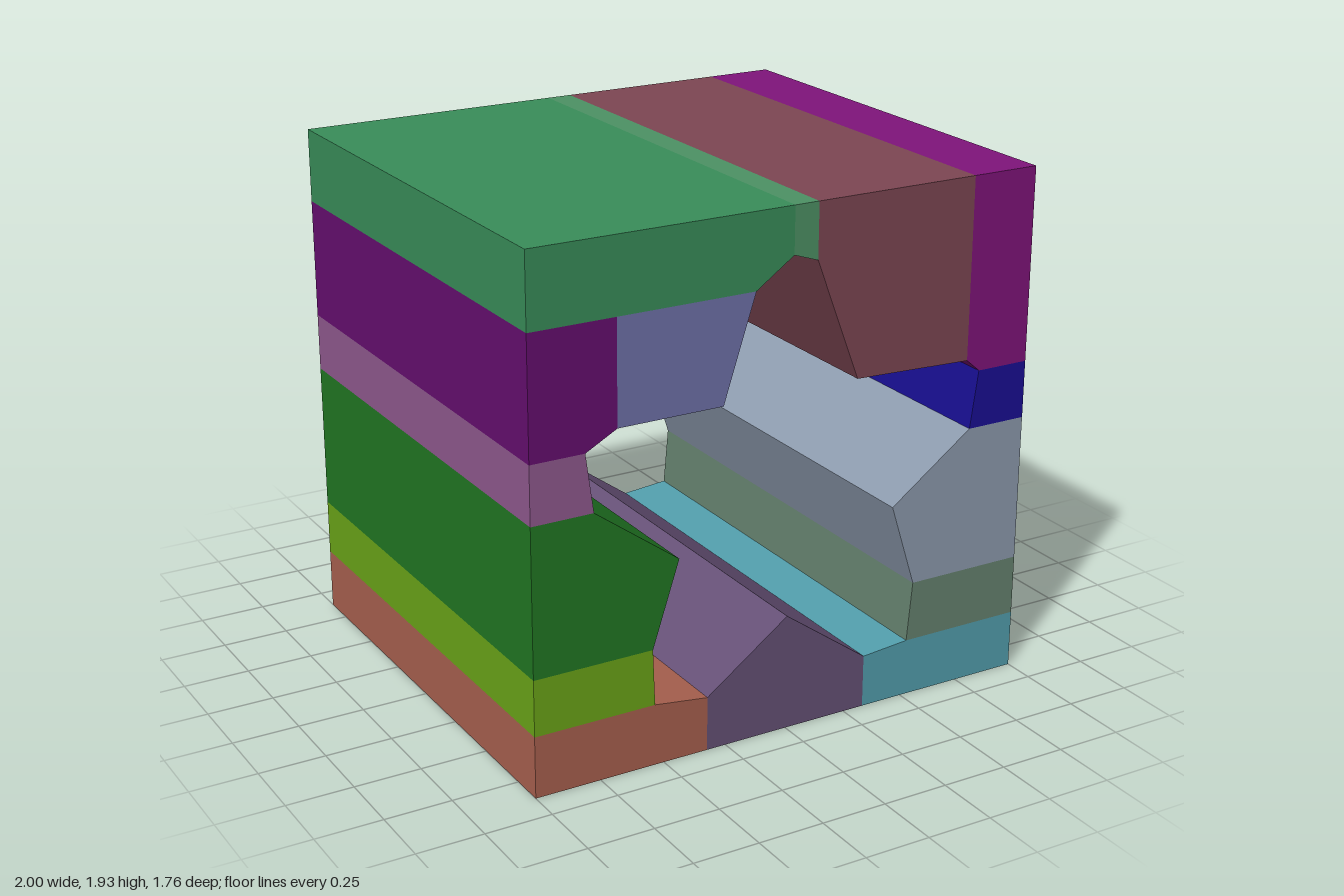
import * as THREE from 'three';

const DEPTH = 1.76;
const TOP = 1.935;

// Extrudes an x-y outline (anticlockwise) through the full depth as one solid block.
function block(name, color, outline) {
  const shape = new THREE.Shape(outline.map(([x, y]) => new THREE.Vector2(x, y)));
  const geometry = new THREE.ExtrudeGeometry(shape, { depth: DEPTH, bevelEnabled: false });
  geometry.translate(0, 0, -DEPTH / 2);
  const mesh = new THREE.Mesh(geometry, new THREE.MeshStandardMaterial({ color, flatShading: true }));
  mesh.name = name;
  return mesh;
}

export function createModel() {
  const group = new THREE.Group();
  group.name = 'starTunnelBlock';

  group.add(
    // Floor blocks with the central ridge
    block('floorRight', 0xa9614f, [[-1, 0], [-0.325, 0], [-0.325, 0.205], [-0.535, 0.232], [-1, 0.232]]),
    block('floorRidge', 0x665177, [[-0.325, 0], [0.333, 0], [0.333, 0.2], [0, 0.44], [-0.325, 0.205]]),
    block('floorLeft', 0x53a0ae, [[0.333, 0], [1, 0], [1, 0.217], [0.52, 0.217], [0.333, 0.2]]),

    // Right wall, from the floor upward
    block('lowerWallRight', 0x6ba518, [[-1, 0.232], [-0.535, 0.232], [-0.543, 0.443], [-1, 0.443]]),
    block('wallRidgeRight', 0x217823, [[-1, 0.443], [-0.543, 0.443], [-0.44, 0.76], [-0.765, 0.997], [-1, 0.997]]),
    block('upperWallRight', 0x90598f, [[-1, 0.997], [-0.765, 0.997], [-0.795, 1.213], [-1, 1.213]]),
    block('shoulderRight', 0x660f70, [[-1, 1.213], [-0.795, 1.213], [-0.675, 1.277], [-0.675, 1.66], [-1, 1.66]]),
    block('innerShoulderRight', 0x7072aa, [[-0.675, 1.277], [-0.27, 1.277], [-0.147, 1.66], [-0.675, 1.66]]),

    // Left wall, from the floor upward
    block('lowerWallLeft', 0x66826f, [[0.52, 0.217], [1, 0.217], [1, 0.443], [0.54, 0.443]]),
    block('wallRidgeLeft', 0x8d9bae, [[0.54, 0.443], [1, 0.443], [1, 0.997], [0.763, 0.997], [0.438, 0.76]]),
    block('upperWallLeft', 0x190f95, [[0.763, 0.997], [1, 0.997], [1, 1.213], [0.793, 1.213]]),
    block('shoulderLeft', 0x80147b, [[0.738, 1.26], [0.793, 1.213], [1, 1.213], [1, TOP], [0.738, TOP]]),
    block('innerShoulderLeft', 0x7d4653, [[0.095, 1.73], [0.27, 1.277], [0.738, 1.26], [0.738, TOP], [0.095, TOP]]),

    // Roof over the tip of the opening
    block('roofRight', 0x398e5a, [[-1, 1.66], [-0.147, 1.66], [0, 1.762], [0, TOP], [-1, TOP]]),
    block('roofTip', 0x4d9265, [[0, 1.762], [0.095, 1.73], [0.095, TOP], [0, TOP]])
  );
  return group;
}
